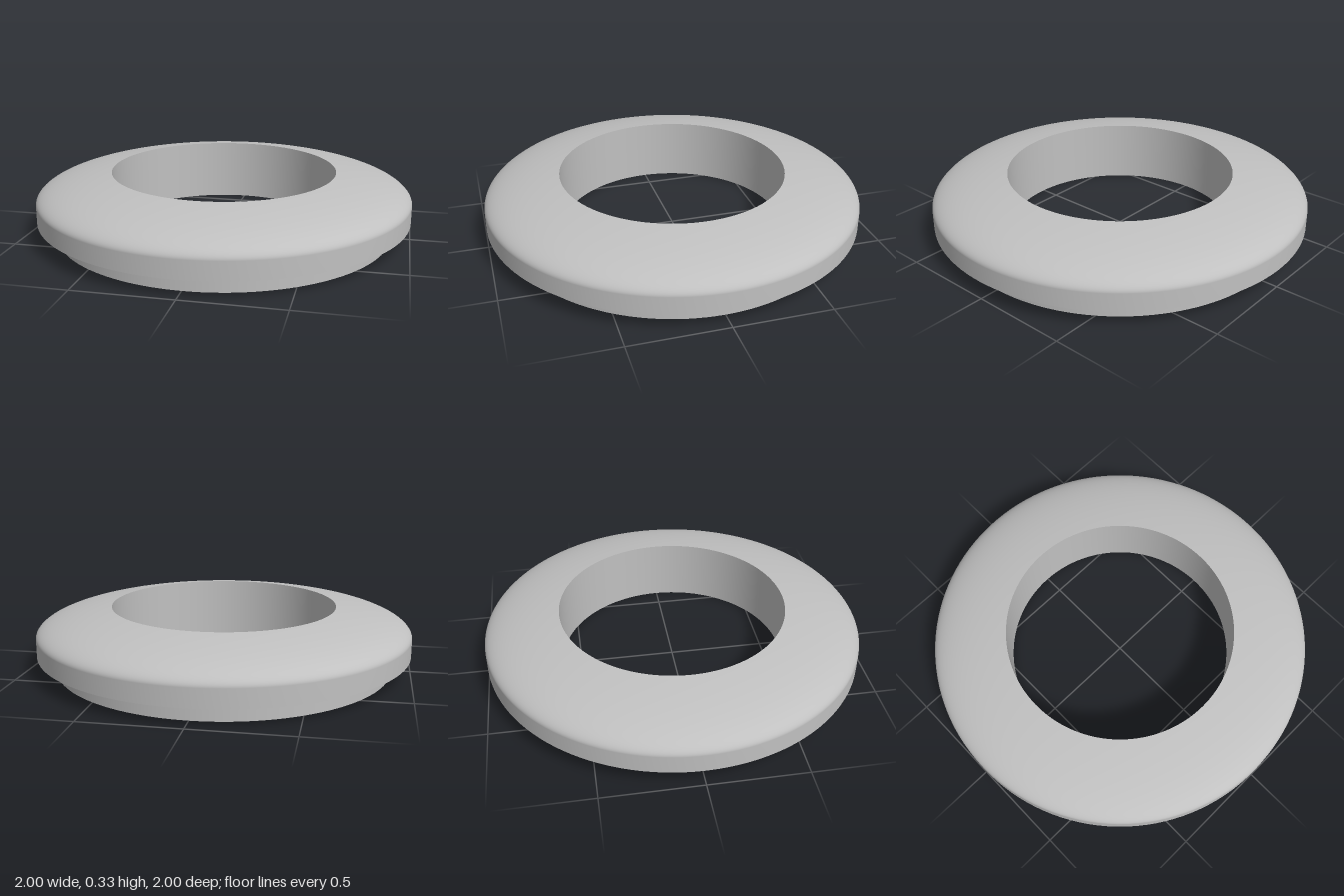
import * as THREE from 'three';

const SEGMENTS = 128;
const HOLE_R = 0.6, BASE_R = 0.9, RIM_R = 1;
const LEDGE_Y = 0.095, DOME_Y = 0.19, DOME_H = 0.175;
const POCKET = { x: 0.765, size: 0.16, depth: 0.18 };

export function createModel() {
  const group = new THREE.Group();
  const grey = new THREE.MeshStandardMaterial({ color: 0xc0c0c0 });
  grey.name = 'grey';

  const add = (name, geometry) => {
    const mesh = new THREE.Mesh(geometry, grey);
    mesh.name = name;
    group.add(mesh);
    return mesh;
  };
  const lathe = (name, points) =>
    add(name, new THREE.LatheGeometry(points.map(([r, y]) => new THREE.Vector2(r, y)), SEGMENTS));

  // Stepped base, overhanging ledge and straight bore, kept apart for sharp edges
  lathe('baseWall', [[BASE_R, 0], [BASE_R, LEDGE_Y]]);
  lathe('ledge', [[BASE_R, LEDGE_Y], [RIM_R, LEDGE_Y]]);
  const domeTop = DOME_Y + DOME_H * Math.sqrt(1 - HOLE_R * HOLE_R);
  lathe('bore', [[HOLE_R, domeTop], [HOLE_R, 0]]);

  // Upright rim flowing into an elliptical dome that ends at the bore
  const dome = [[RIM_R, LEDGE_Y]];
  const steps = 24, endAngle = Math.acos(HOLE_R);
  for (let i = 0; i <= steps; i++) {
    const a = endAngle * i / steps;
    dome.push([RIM_R * Math.cos(a), DOME_Y + DOME_H * Math.sin(a)]);
  }
  lathe('rimAndDome', dome);

  // Underside with the bore and two square openings
  const underside = new THREE.Shape().absarc(0, 0, BASE_R, 0, Math.PI * 2, false);
  underside.holes.push(new THREE.Path().absarc(0, 0, HOLE_R, 0, Math.PI * 2, true));
  const h = POCKET.size / 2;
  for (const side of [-1, 1]) {
    const x = side * POCKET.x;
    underside.holes.push(new THREE.Path([
      [x - h, -h], [x - h, h], [x + h, h], [x + h, -h],
    ].map(([px, py]) => new THREE.Vector2(px, py))));

    // Blind pocket: a box without its lower face, turned inside out
    const box = new THREE.BoxGeometry(POCKET.size, POCKET.depth, POCKET.size);
    const index = Array.from(box.index.array);
    index.splice(18, 6);
    box.setIndex(index.reverse());
    box.clearGroups();
    const pocket = box.toNonIndexed();
    pocket.computeVertexNormals();
    add(side > 0 ? 'leftPocket' : 'rightPocket', pocket).position.set(x, POCKET.depth / 2, 0);
  }
  add('underside', new THREE.ShapeGeometry(underside, SEGMENTS).rotateX(Math.PI / 2));

  return group;
}
